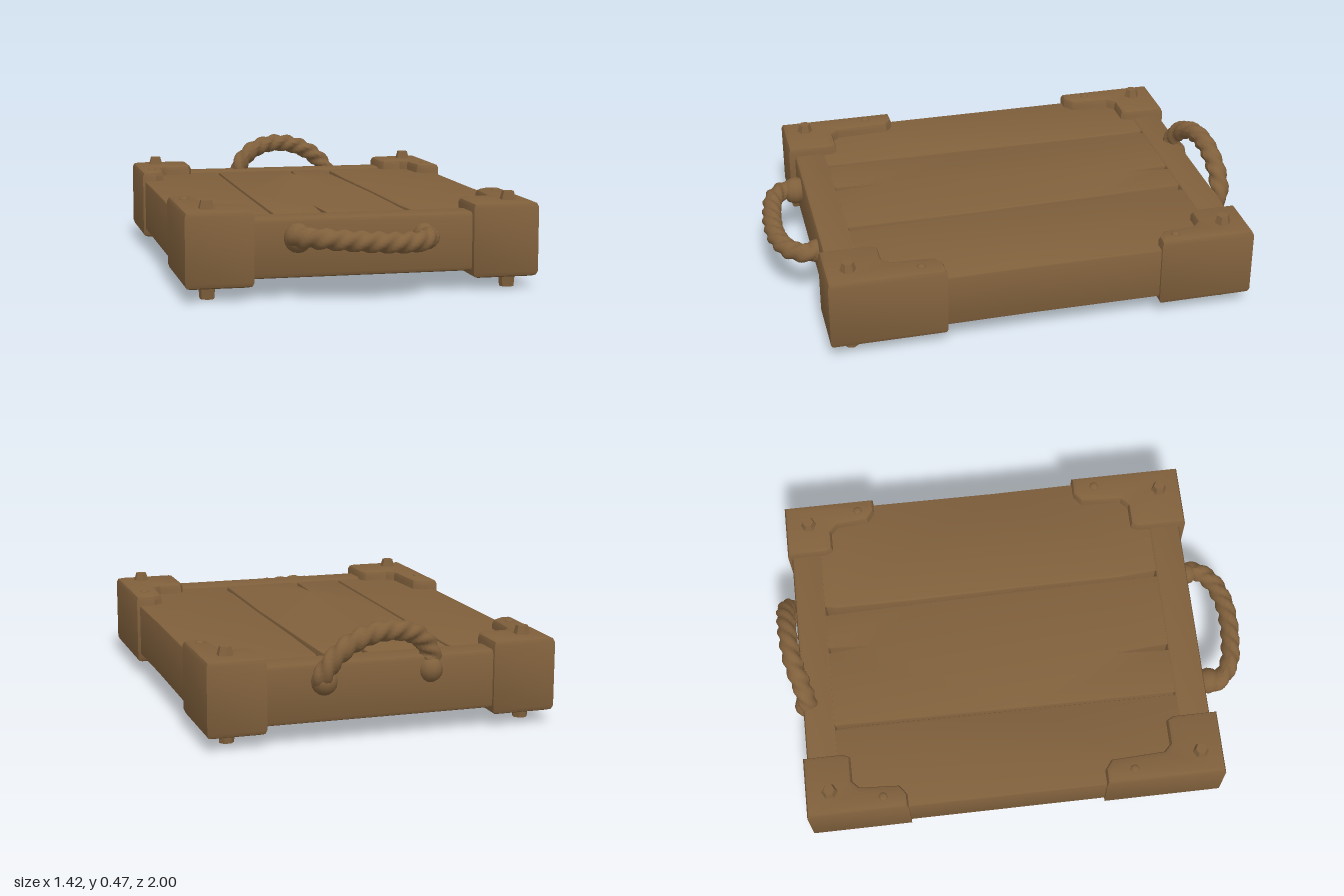
import * as THREE from 'three';
import { toCreasedNormals } from 'three/addons/utils/BufferGeometryUtils.js';

const wood = new THREE.MeshStandardMaterial({ color: 0x80603c });
wood.name = 'brown wood';

function add(group, name, geometry, x = 0, y = 0, z = 0) {
  const mesh = new THREE.Mesh(geometry, wood);
  mesh.name = name;
  mesh.position.set(x, y, z);
  group.add(mesh);
  return mesh;
}

// Bevelled slab from an [x, z] outline, standing between heights y0 and y1
function slab(outline, y0, y1, bevel) {
  const shape = new THREE.Shape(outline.map(([x, z]) => new THREE.Vector2(x, -z)));
  const g = new THREE.ExtrudeGeometry(shape, {
    depth: y1 - y0 - 2 * bevel, bevelEnabled: true, bevelThickness: bevel,
    bevelSize: bevel, bevelOffset: -bevel, bevelSegments: 2,
  });
  g.rotateX(-Math.PI / 2);
  g.translate(0, y0 + bevel, 0);
  return toCreasedNormals(g, 0.6);
}

// Three-strand twisted rope along a curve
function rope(points, radius) {
  const curve = new THREE.CatmullRomCurve3(points.map((p) => new THREE.Vector3(...p)));
  const rings = 110, sides = 18;
  const g = new THREE.TubeGeometry(curve, rings, radius, sides, false);
  const pos = g.attributes.position;
  const p = new THREE.Vector3();
  const turns = curve.getLength() / 0.2;
  for (let i = 0; i <= rings; i++) {
    const c = curve.getPointAt(i / rings);
    for (let j = 0; j <= sides; j++) {
      const k = i * (sides + 1) + j;
      const a = (j / sides - (i / rings) * turns) * Math.PI * 2;
      const lobe = 0.82 + 0.36 * Math.abs(Math.cos(1.5 * a));
      p.fromBufferAttribute(pos, k).sub(c).multiplyScalar(lobe).add(c);
      pos.setXYZ(k, p.x, p.y, p.z);
    }
  }
  g.computeVertexNormals();
  return g;
}

export function createModel() {
  const model = new THREE.Group();
  model.name = 'woodenPanel';

  // Three planks; the middle one is split at both ends
  const planks = [
    [[-0.698, -0.8], [-0.33, -0.8], [-0.322, -0.7], [-0.33, 0], [-0.336, 0.68], [-0.698, 0.68]],
    [[-0.312, -0.8], [0.018, -0.8], [0.03, -0.62], [0.042, -0.8], [0.195, -0.8], [0.206, -0.4],
      [0.217, 0.1], [0.214, 0.68], [-0.106, 0.68], [-0.122, 0.45], [-0.132, 0.68],
      [-0.326, 0.68], [-0.322, 0]],
    [[0.235, -0.8], [0.698, -0.8], [0.692, 0], [0.698, 0.68], [0.24, 0.68], [0.226, 0.5],
      [0.227, 0.1], [0.22, -0.4], [0.222, -0.74]],
  ];
  planks.forEach((o, i) => add(model, 'plank' + (i + 1), slab(o, 0.085, 0.308, 0.008)));

  // End rails
  for (const [name, z0, z1] of [['backRail', -0.918, -0.785], ['frontRail', 0.663, 0.8]]) {
    add(model, name, slab([[-0.68, z0], [0.68, z0], [0.68, z1], [-0.68, z1]], 0.078, 0.314, 0.018));
  }

  // L-shaped corner caps: inner x, outer z, inner z, arm end z, arm inner x
  const corners = [
    ['frontRight', -1, 0.44, 0.825, 0.61, 0.325, 0.59],
    ['frontLeft', 1, 0.44, 0.825, 0.585, 0.35, 0.58],
    ['backRight', -1, 0.45, -0.932, -0.735, -0.51, 0.6],
    ['backLeft', 1, 0.475, -0.932, -0.735, -0.54, 0.6],
  ];
  for (const [name, s, xi, zo, zi, za, xa] of corners) {
    const d = Math.sign(zo) * 0.03;
    const outline = [[0.708, zo], [xi, zo], [xi, zi + d], [xi + 0.015, zi], [xa - 0.03, zi],
      [xa, zi - d], [xa + 0.01, za + d], [xa + 0.05, za], [0.708, za]];
    add(model, name + 'Cap', slab(outline.map(([x, z]) => [s * x, z]), 0.05, 0.352, 0.022));

    // Pegs through each cap, and a small stud on the arm
    const z = zo > 0 ? 0.73 : -0.83;
    const foot = zo > 0 ? 0 : 0.01;
    const head = new THREE.CylinderGeometry(0.024, 0.04, 0.055, 6).toNonIndexed();
    head.computeVertexNormals();
    add(model, name + 'PegHead', head, s * 0.61, 0.358, z);
    const peg = new THREE.CylinderGeometry(0.036, 0.03, 0.07, 7).toNonIndexed();
    peg.computeVertexNormals();
    add(model, name + 'PegFoot', peg, s * 0.61, foot + 0.035, z);
    for (const y of [0.35, 0.052]) {
      const stud = add(model, name + 'Stud', new THREE.SphereGeometry(0.02, 8, 6),
        s * 0.655, y, zo > 0 ? 0.445 : -0.61);
      stud.scale.y = 0.6;
    }
  }

  // Front handle, hanging out level
  add(model, 'frontHandle', rope([[-0.26, 0.245, 0.79], [-0.28, 0.245, 0.86], [-0.21, 0.25, 0.925],
    [-0.1, 0.242, 0.95], [0, 0.235, 0.958], [0.1, 0.228, 0.95], [0.2, 0.225, 0.91],
    [0.25, 0.23, 0.84], [0.235, 0.232, 0.78]], 0.036));

  // Back handle, standing upright and leaning out
  add(model, 'backHandle', rope([[-0.19, 0.24, -0.9], [-0.195, 0.32, -0.895], [-0.14, 0.39, -0.91],
    [-0.05, 0.425, -0.935], [0.05, 0.425, -0.948], [0.15, 0.39, -0.955], [0.225, 0.33, -0.957],
    [0.262, 0.26, -0.945], [0.225, 0.235, -0.89]], 0.036));

  // Rope knots where the handles meet the rails
  const knots = [[-0.27, 0.24, 0.825, 0.056], [0.24, 0.23, 0.805, 0.047],
    [-0.19, 0.255, -0.905, 0.05], [0.25, 0.245, -0.93, 0.052]];
  for (const [x, y, z, r] of knots) {
    const knot = add(model, 'ropeKnot', new THREE.SphereGeometry(r, 12, 8), x, y, z);
    knot.scale.set(1, 1.05, 1.05);
  }
  return model;
}
